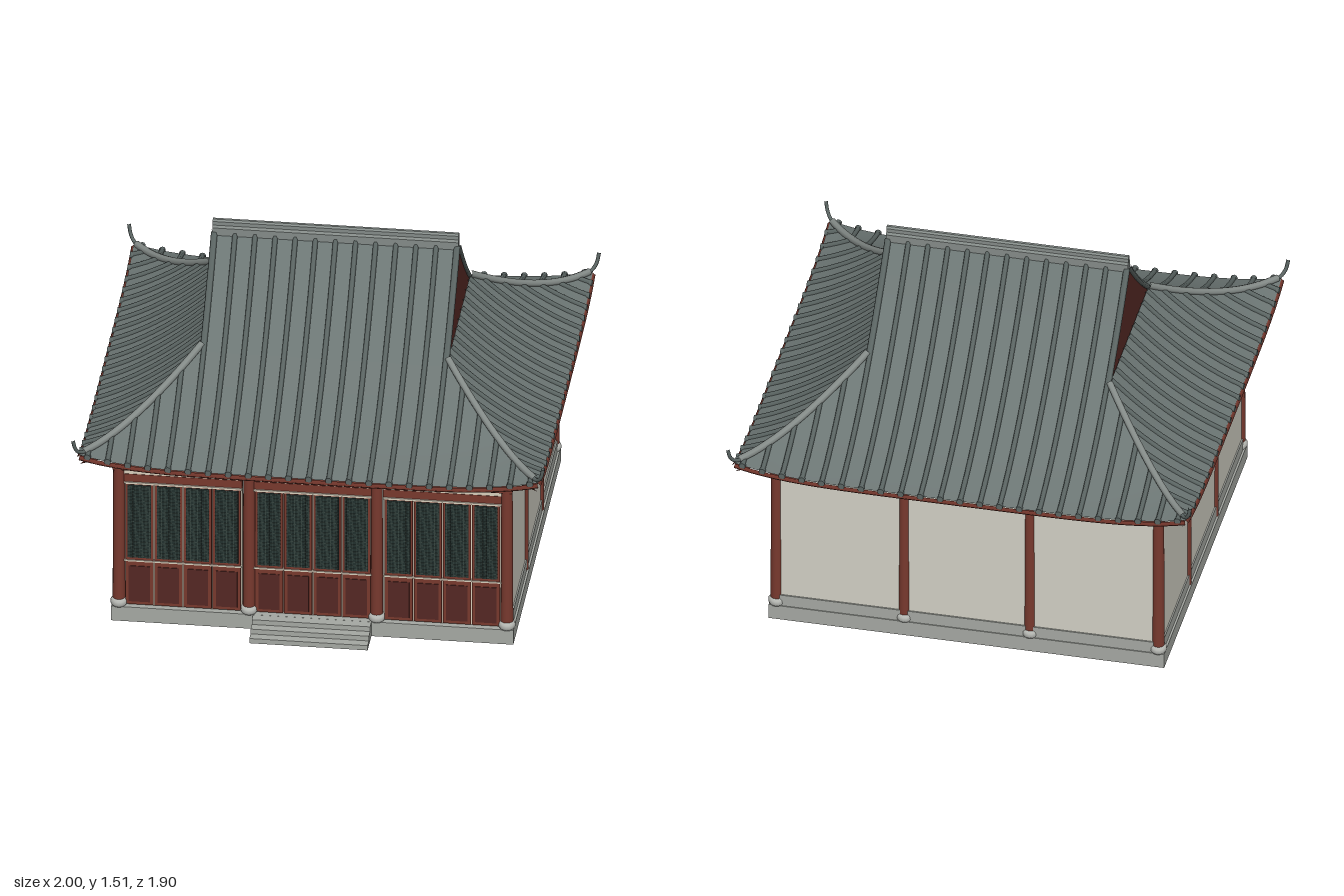
import * as THREE from 'three';
import { mergeGeometries } from 'three/addons/utils/BufferGeometryUtils.js';

const mat = (color, side = THREE.FrontSide) => new THREE.MeshStandardMaterial({ color, side });
const TILE = mat(0x6c7674, THREE.DoubleSide), RIB = mat(0x5c6664), RIDGE = mat(0x858c89);
const RED = mat(0x78392e), DARKRED = mat(0x552824), STONE = mat(0xa6a9a3), BASE = mat(0xb9bbb6);
const PLASTER = mat(0xd2d0c5), CREAM = mat(0xd9cfbd), LATTICE = mat(0x22302e), BAR = mat(0x36443f);

// Roof plan: ridge half length, gable foot depth, eave half sizes
const RX = 0.52, RZ = 0.37, EX = 0.97, EZ = 0.92;
const height = z => 1.46 - 1.122 * z + 0.44 * z * z;
const lift = (s, r) => 0.05 * Math.max(s, 0) ** 4 * Math.min(Math.abs(r), 1.05) ** 5;
const V = (x, y, z) => new THREE.Vector3(x, y, z);

// Point on the front slope, and on the left hipped slope (s: 0 at gable foot, 1 at eave)
function frontPoint(x, z, up = 0) {
  const s = (z - RZ) / (EZ - RZ);
  return V(x, height(z) + lift(s, x / (RX + (EX - RX) * Math.max(s, 0))) + up, z);
}
function sidePoint(s, z, up = 0) {
  const d = RZ + (EZ - RZ) * s;
  return V(RX + (EX - RX) * s, height(d) + lift(s, z / d) + up, z);
}
const sample = (n, fn) => Array.from({ length: n + 1 }, (_, i) => fn(i / n));

function add(parent, name, geo, material, x = 0, y = 0, z = 0) {
  const m = new THREE.Mesh(geo, material);
  m.name = name;
  m.position.set(x, y, z);
  parent.add(m);
  return m;
}
const box = (p, name, material, w, h, d, x, y, z) => add(p, name, new THREE.BoxGeometry(w, h, d), material, x, y, z);
const tubeGeo = (pts, r, n = 12, sides = 6) => new THREE.TubeGeometry(new THREE.CatmullRomCurve3(pts), n, r, sides);

// Bend a plane into a slope; fn takes u in -1..1 and v from 0 (top) to 1 (eave)
function slopeGeo(fn, nu, nv) {
  const g = new THREE.PlaneGeometry(2, 1, nu, nv), p = g.attributes.position;
  for (let i = 0; i < p.count; i++) {
    const q = fn(p.getX(i), 0.5 - p.getY(i));
    p.setXYZ(i, q.x, q.y, q.z);
  }
  g.computeVertexNormals();
  return g;
}

// Rounded tile end at the foot of a rib
function cap(p, alongX) {
  const c = new THREE.CylinderGeometry(0.014, 0.014, 0.014, 10);
  alongX ? c.rotateZ(Math.PI / 2) : c.rotateX(Math.PI / 2);
  return c.translate(p.x, p.y, p.z);
}

function frontSlope() {
  const g = new THREE.Group();
  add(g, 'tiles', slopeGeo((u, v) => {
    const s = (v - 0.4) / 0.6;
    const z = v < 0.4 ? RZ * v / 0.4 : RZ + (EZ - RZ) * s;
    return frontPoint(u * (RX + (EX - RX) * Math.max(s, 0)), z);
  }, 40, 20), TILE);
  const ribs = [], rafters = [];
  for (let i = -11; i <= 11; i++) {
    const x = i * 0.085, a = Math.abs(x);
    const z0 = a <= RX ? 0.01 : RZ + (EZ - RZ) * (a - RX) / (EX - RX);
    ribs.push(tubeGeo(sample(8, t => frontPoint(x, z0 + (EZ - z0) * t, 0.003)), 0.011));
    ribs.push(cap(frontPoint(x, EZ, 0.001), false));
    const r0 = Math.max(0.74, z0);
    if (r0 < 0.88) rafters.push(tubeGeo(sample(3, t => frontPoint(x, r0 + (0.91 - r0) * t, -0.02)), 0.009, 4, 4));
  }
  // Edge tiles running down the gable ends
  for (const sx of [-1, 1]) ribs.push(tubeGeo(sample(8, t => frontPoint(sx * 0.514, 0.01 + 0.37 * t, 0.002)), 0.013));
  add(g, 'tileRibs', mergeGeometries(ribs), RIB);
  add(g, 'rafters', mergeGeometries(rafters), RED);
  add(g, 'eaveBoard', tubeGeo(sample(30, t => frontPoint(EX * (2 * t - 1), EZ, -0.014)), 0.011, 50, 4), RED);
  return g;
}

function sideSlope() {
  const g = new THREE.Group();
  add(g, 'tiles', slopeGeo((u, v) => sidePoint(v, -u * (RZ + (EZ - RZ) * v)), 40, 12), TILE);
  const ribs = [], rafters = [];
  for (let i = -10; i <= 10; i++) {
    const z = i * 0.085, a = Math.abs(z), s0 = a <= RZ ? 0 : (a - RZ) / (EZ - RZ);
    ribs.push(tubeGeo(sample(6, t => sidePoint(s0 + (1 - s0) * t, z, 0.003)), 0.011, 10));
    ribs.push(cap(sidePoint(1, z, 0.001), true));
    const r0 = Math.max(0.62, s0);
    if (r0 < 0.92) rafters.push(tubeGeo(sample(3, t => sidePoint(r0 + (0.98 - r0) * t, z, -0.02)), 0.009, 4, 4));
  }
  add(g, 'tileRibs', mergeGeometries(ribs), RIB);
  add(g, 'rafters', mergeGeometries(rafters), RED);
  add(g, 'eaveBoard', tubeGeo(sample(30, t => sidePoint(1, EZ * (2 * t - 1), -0.014)), 0.011, 50, 4), RED);
  // Gable wall under the ridge end
  const shape = new THREE.Shape([[-RZ, 1.08], [RZ, 1.08]].map(p => new THREE.Vector2(...p))
    .concat(sample(12, t => RZ * (1 - 2 * t)).map(z => new THREE.Vector2(z, height(Math.abs(z)) - 0.004))));
  const gable = new THREE.ExtrudeGeometry(shape, { depth: 0.02, bevelEnabled: false });
  add(g, 'gable', gable, DARKRED, 0.495).rotation.y = Math.PI / 2;
  gable.translate(0, 0, 0);
  return g;
}

// Hip ridge with upturned tip and corner beam, for one quadrant
function hip(sx, sz) {
  const g = new THREE.Group();
  const hipPoint = (s, up) => {
    const p = sidePoint(s, RZ + (EZ - RZ) * s, up);
    return V(p.x * sx, p.y, p.z * sz);
  };
  add(g, 'hipRidge', tubeGeo(sample(10, t => hipPoint(t * 0.97, 0.009)), 0.015, 20, 8), RIDGE);
  add(g, 'hipTip', tubeGeo([hipPoint(0.9, 0.005), hipPoint(0.99, 0.01),
    V(0.984 * sx, 0.885, 0.934 * sz), V(0.994 * sx, 0.932, 0.943 * sz)], 0.008, 12, 8), RIB);
  add(g, 'cornerBeam', tubeGeo([V(0.8 * sx, 0.81, 0.755 * sz), V(0.9 * sx, 0.812, 0.85 * sz),
    V(0.965 * sx, 0.825, 0.912 * sz)], 0.02, 8, 4), RED);
  return g;
}

// One door leaf: frame, lattice window and lower panel
const latticeBars = (() => {
  const bars = [];
  for (let i = -3; i <= 3; i++) bars.push(new THREE.BoxGeometry(0.003, 0.345, 0.005).translate(i * 0.0145, 0, 0));
  for (let j = -10; j <= 10; j++) bars.push(new THREE.BoxGeometry(0.096, 0.003, 0.005).translate(0, j * 0.0165, 0));
  return mergeGeometries(bars);
})();
function doorLeaf(w) {
  const g = new THREE.Group();
  g.name = 'doorLeaf';
  box(g, 'frame', RED, w, 0.575, 0.02, 0, 0.363, 0);
  box(g, 'window', LATTICE, 0.098, 0.348, 0.008, 0, 0.474, 0.008);
  add(g, 'latticeBars', latticeBars, BAR, 0, 0.474, 0.012);
  box(g, 'lowerPanel', DARKRED, 0.09, 0.17, 0.008, 0, 0.175, 0.009);
  return g;
}

export function createModel() {
  const model = new THREE.Group();
  const group = name => {
    const g = new THREE.Group();
    g.name = name;
    model.add(g);
    return g;
  };

  // Platform and steps
  const platform = group('platform');
  box(platform, 'plinth', STONE, 1.7, 0.068, 1.6, 0, 0.034, 0);
  for (let i = 0; i < 3; i++) {
    const z1 = 0.925 - i * 0.041, h = 0.0225 * (i + 1);
    box(platform, 'step', STONE, 0.5, h, z1 - 0.79, 0, h / 2, (z1 + 0.79) / 2);
  }

  // Columns around the edge
  const columns = group('columns');
  const colGeo = new THREE.CylinderGeometry(0.024, 0.027, 0.73, 16);
  const footGeo = new THREE.LatheGeometry([[0, 0], [0.03, 0], [0.036, 0.012], [0.035, 0.026], [0.028, 0.036], [0, 0.036]]
    .map(p => new THREE.Vector2(...p)), 16);
  for (const x of [-0.82, -0.27, 0.27, 0.82]) for (const z of [-0.775, -0.26, 0.26, 0.775]) {
    const outer = Math.abs(z) > 0.7;
    if (!outer && Math.abs(x) < 0.5) continue;
    add(columns, 'column', colGeo, RED, x, 0.432, z);
    if (outer) add(columns, 'columnFoot', footGeo, BASE, x, 0.066, z);
  }

  // Plaster walls with a stone skirting
  const walls = group('walls');
  box(walls, 'backWall', PLASTER, 1.64, 0.66, 0.03, 0, 0.395, -0.775);
  box(walls, 'backSkirting', STONE, 1.64, 0.055, 0.042, 0, 0.093, -0.775);
  for (const s of [-1, 1]) {
    box(walls, 'sideWall', PLASTER, 0.03, 0.66, 1.55, s * 0.82, 0.395, 0);
    box(walls, 'sideSkirting', STONE, 0.042, 0.055, 1.55, s * 0.82, 0.093, 0);
  }

  // Beams above the walls
  const beams = group('beams');
  for (const s of [-1, 1]) {
    box(beams, 'longBeam', RED, 1.69, 0.055, 0.04, 0, 0.747, s * 0.775);
    box(beams, 'longPurlin', RED, 1.7, 0.06, 0.055, 0, 0.8, s * 0.775);
    box(beams, 'crossBeam', RED, 0.04, 0.055, 1.59, s * 0.82, 0.747, 0);
    box(beams, 'crossPurlin', RED, 0.055, 0.07, 1.6, s * 0.82, 0.808, 0);
  }

  // Three bays of four doors
  const doors = group('doors');
  for (const cx of [-0.548, 0, 0.548]) {
    box(doors, 'doorBacking', CREAM, 0.5, 0.65, 0.02, cx, 0.395, 0.765);
    box(doors, 'transom', RED, 0.5, 0.036, 0.03, cx, 0.68, 0.77);
    box(doors, 'transomStrip', CREAM, 0.5, 0.016, 0.026, cx, 0.706, 0.77);
    box(doors, 'headStrip', CREAM, 0.5, 0.008, 0.036, cx, 0.656, 0.77);
    box(doors, 'middleStrip', CREAM, 0.5, 0.007, 0.036, cx, 0.285, 0.771);
    for (let i = 0; i < 4; i++) {
      const leaf = doorLeaf(0.118);
      leaf.position.set(cx + (i - 1.5) * 0.123, 0, 0.775);
      doors.add(leaf);
    }
  }

  // Roof: two main slopes, two hipped ends, ridges
  const roof = group('roof');
  for (const turn of [0, Math.PI]) {
    const main = frontSlope(), end = sideSlope();
    main.name = 'mainSlope';
    end.name = 'endSlope';
    main.rotation.y = end.rotation.y = turn;
    roof.add(main, end);
  }
  for (const sx of [-1, 1]) for (const sz of [-1, 1]) {
    const h = hip(sx, sz);
    h.name = 'hip';
    roof.add(h);
  }
  const ridgeShape = new THREE.Shape([[-0.02, 1.44], [0.02, 1.44], [0.02, 1.475], [0.013, 1.485], [0.013, 1.502],
    [0.006, 1.51], [-0.006, 1.51], [-0.013, 1.502], [-0.013, 1.485], [-0.02, 1.475]].map(p => new THREE.Vector2(...p)));
  const ridge = new THREE.ExtrudeGeometry(ridgeShape, { depth: 1.04, bevelEnabled: false });
  add(roof, 'mainRidge', ridge, RIDGE, -0.52).rotation.y = Math.PI / 2;
  return model;
}
